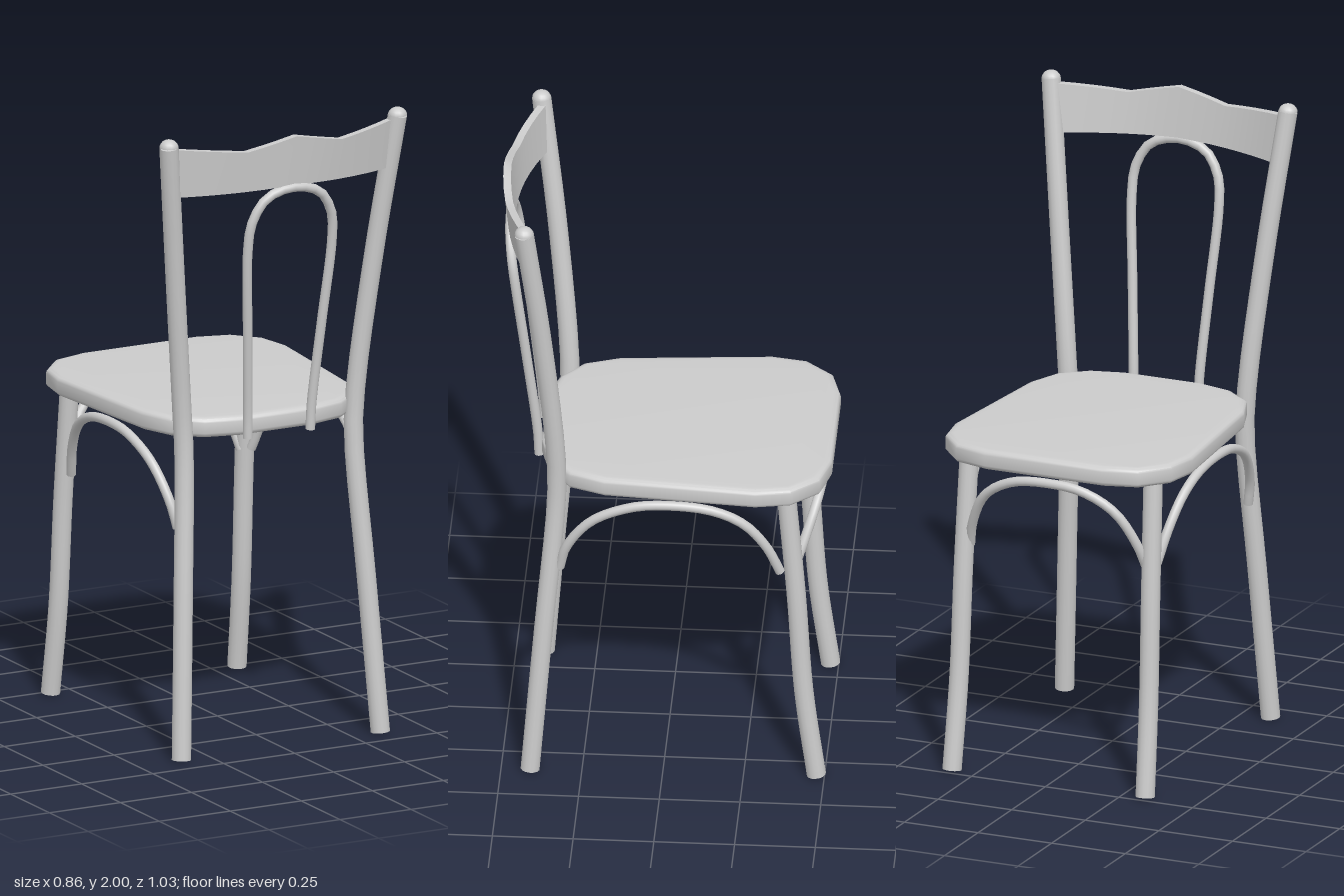
import * as THREE from 'three';
import { mergeGeometries, toCreasedNormals } from 'three/addons/utils/BufferGeometryUtils.js';

const grey = new THREE.MeshStandardMaterial({ color: 0xcccccc });

function mesh(name, geometry) {
  const m = new THREE.Mesh(geometry, grey);
  m.name = name;
  return m;
}

// Round rod through the given points, closed with a disc at both ends
function rod(name, points, radius, segments = 20) {
  const curve = new THREE.CatmullRomCurve3(points.map(p => new THREE.Vector3(...p)));
  const parts = [new THREE.TubeGeometry(curve, segments, radius, 14)];
  for (const [t, sign] of [[0, -1], [1, 1]]) {
    const disc = new THREE.CircleGeometry(radius, 14);
    const dir = curve.getTangentAt(t).multiplyScalar(sign);
    disc.applyQuaternion(new THREE.Quaternion().setFromUnitVectors(new THREE.Vector3(0, 0, 1), dir));
    const p = curve.getPointAt(t);
    disc.translate(p.x, p.y, p.z);
    parts.push(disc);
  }
  return mesh(name, mergeGeometries(parts));
}

// Right half of a symmetric path plus its mirror image; the last point lies on x = 0
function mirrored(half) {
  return [...half, ...half.slice(0, -1).reverse().map(([x, y, z]) => [-x, y, z])];
}

// Slab with a rounded edge, wide at the front (-z) and narrow at the back
function seat() {
  const half = [[0.13, 0.388], [0.24, 0.36], [0.325, 0.29], [0.365, 0.18],
    [0.405, -0.29], [0.385, -0.4], [0.31, -0.485], [0.2, -0.515]];
  const outline = [...half, ...half.slice().reverse().map(([x, z]) => [-x, z])];
  const shape = new THREE.Shape(outline.map(([x, z]) => new THREE.Vector2(x, z)));
  const bevel = 0.016;
  const geo = new THREE.ExtrudeGeometry(shape, {
    depth: 0.065 - 2 * bevel, bevelThickness: bevel, bevelSize: 0.024, bevelOffset: -0.024, bevelSegments: 4,
  });
  geo.rotateX(Math.PI / 2).translate(0, 1.07 - bevel, 0);
  return mesh('seat', toCreasedNormals(geo, 0.65));
}

// Bowed top rail with a wavy upper edge
function topRail() {
  const geo = new THREE.BoxGeometry(0.77, 1, 0.024, 14, 1, 1);
  const pos = geo.attributes.position;
  for (let i = 0; i < pos.count; i++) {
    const x = pos.getX(i), a = Math.abs(x), up = pos.getY(i) > 0;
    const top = a < 0.165 ? 1.98 - 0.035 * a / 0.165 : 1.945 + 0.02 * (a - 0.165) / 0.22;
    const bottom = 1.82 - 0.012 * a / 0.385;
    pos.setY(i, up ? top : bottom);
    pos.setZ(i, pos.getZ(i) + 0.403 + 0.085 * (1 - (a / 0.385) ** 2) + (up ? 0.015 : 0));
  }
  return mesh('topRail', toCreasedNormals(geo, 0.5));
}

export function createModel() {
  const chair = new THREE.Group();
  chair.name = 'chair';
  chair.add(seat(), topRail());

  for (const s of [1, -1]) {
    const side = s > 0 ? 'left' : 'right';
    // Back leg running up into the post
    chair.add(rod(side + 'BackPost', [[s * 0.35, 0.003, 0.41], [s * 0.322, 0.5, 0.37], [s * 0.298, 0.95, 0.332],
      [s * 0.306, 1.1, 0.332], [s * 0.352, 1.55, 0.372], [s * 0.402, 1.975, 0.425]], 0.03));
    const cap = mesh(side + 'PostCap', new THREE.SphereGeometry(0.03, 14, 6, 0, Math.PI * 2, 0, Math.PI / 2));
    cap.position.set(s * 0.402, 1.974, 0.425);
    cap.scale.y = 0.87;
    chair.add(cap);

    // Splayed front leg
    chair.add(rod(side + 'FrontLeg', [[s * 0.328, 0.005, -0.475], [s * 0.322, 0.3, -0.436],
      [s * 0.318, 0.65, -0.412], [s * 0.312, 1.02, -0.38]], 0.03));

    // Bentwood arch under the side of the seat
    const arch = [[0.72, 0.32], [0.8, 0.3], [0.91, 0.22], [0.97, 0.1], [0.984, 0],
      [0.97, -0.15], [0.92, -0.25], [0.83, -0.32], [0.73, -0.362]];
    chair.add(rod(side + 'Arch', arch.map(([y, z]) => [s * (0.315 + (y - 0.72) * 0.19), y, z]), 0.015, 28));
  }

  // Bentwood arch under the front edge of the seat
  const front = [[0.3, 0.72], [0.28, 0.8], [0.22, 0.91], [0.12, 0.97], [0, 0.984]];
  chair.add(rod('frontArch', mirrored(front.map(([x, y]) => [x, y, -0.4 - (y - 0.72) * 0.34])), 0.015, 28));

  // Hoop between seat and top rail
  chair.add(rod('backHoop', mirrored([[0.11, 1, 0.398], [0.112, 1.08, 0.402], [0.13, 1.35, 0.434], [0.148, 1.62, 0.468],
    [0.14, 1.71, 0.48], [0.1, 1.78, 0.489], [0.05, 1.805, 0.492], [0, 1.812, 0.493]]), 0.015, 48));
  return chair;
}
